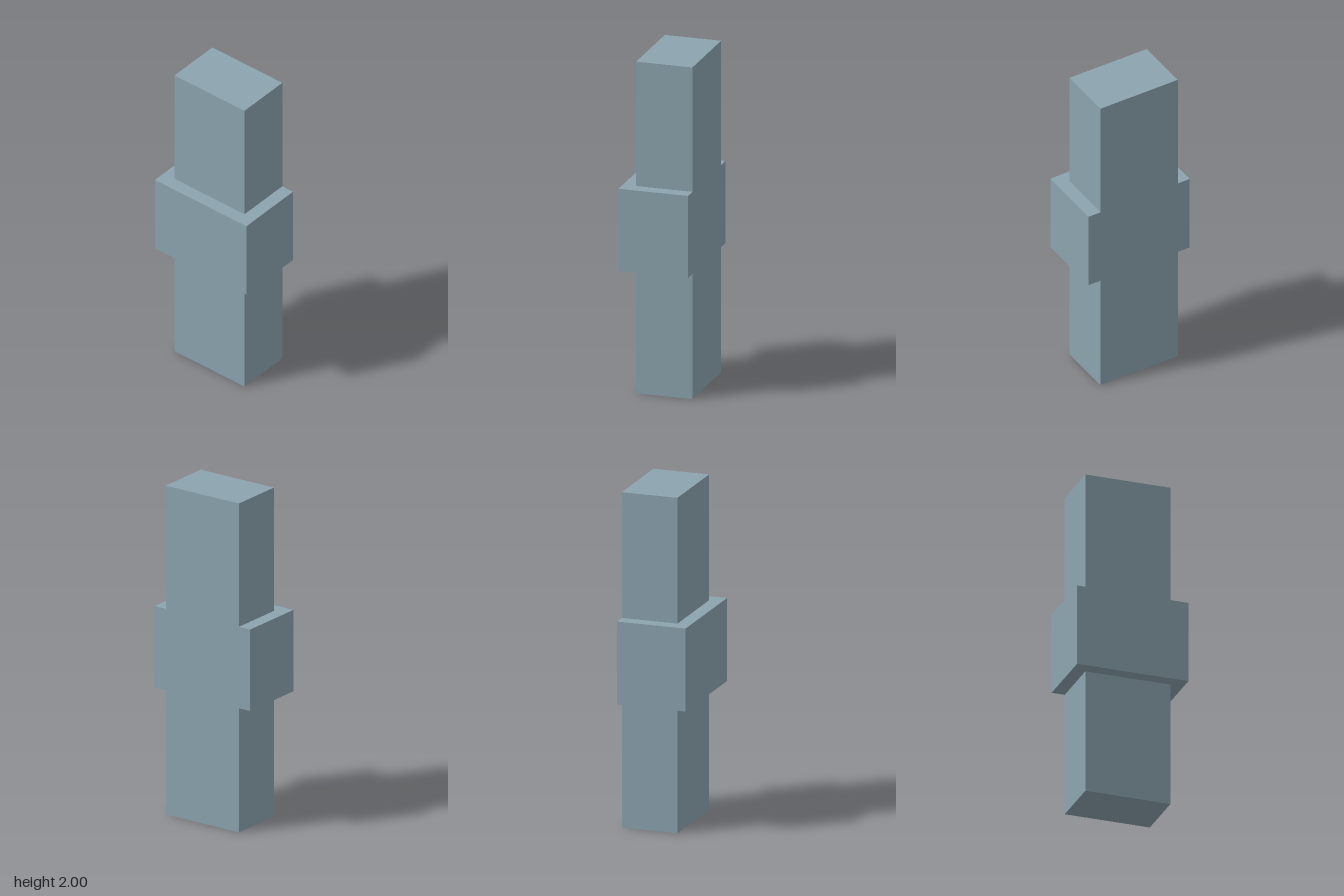
import * as THREE from 'three';

export function createModel() {
  const group = new THREE.Group();
  const material = new THREE.MeshStandardMaterial({ color: 0x8ca4af });
  const right = -0.13, left = 0.21, halfDepth = 0.26, lip = 0.08;
  const bandBottom = 0.755, bandTop = 1.25;

  const add = (name, geometry) => {
    const mesh = new THREE.Mesh(geometry, material);
    mesh.name = name;
    group.add(mesh);
  };

  // Full-height rectangular column
  const column = new THREE.BoxGeometry(left - right, 2, halfDepth * 2);
  column.translate((left + right) / 2, 1, 0);
  add('column', column);

  // Collar wrapping three sides, flush with the column's left face
  const outer = halfDepth + lip;
  const outline = new THREE.Shape([
    [left, -outer], [left, -halfDepth], [right, -halfDepth], [right, halfDepth],
    [left, halfDepth], [left, outer], [right - lip, outer], [right - lip, -outer],
  ].map(([x, z]) => new THREE.Vector2(x, z)));
  const collar = new THREE.ExtrudeGeometry(outline, {
    depth: bandTop - bandBottom, bevelEnabled: false,
  });
  collar.rotateX(-Math.PI / 2).translate(0, bandBottom, 0);
  add('collar', collar);

  return group;
}
